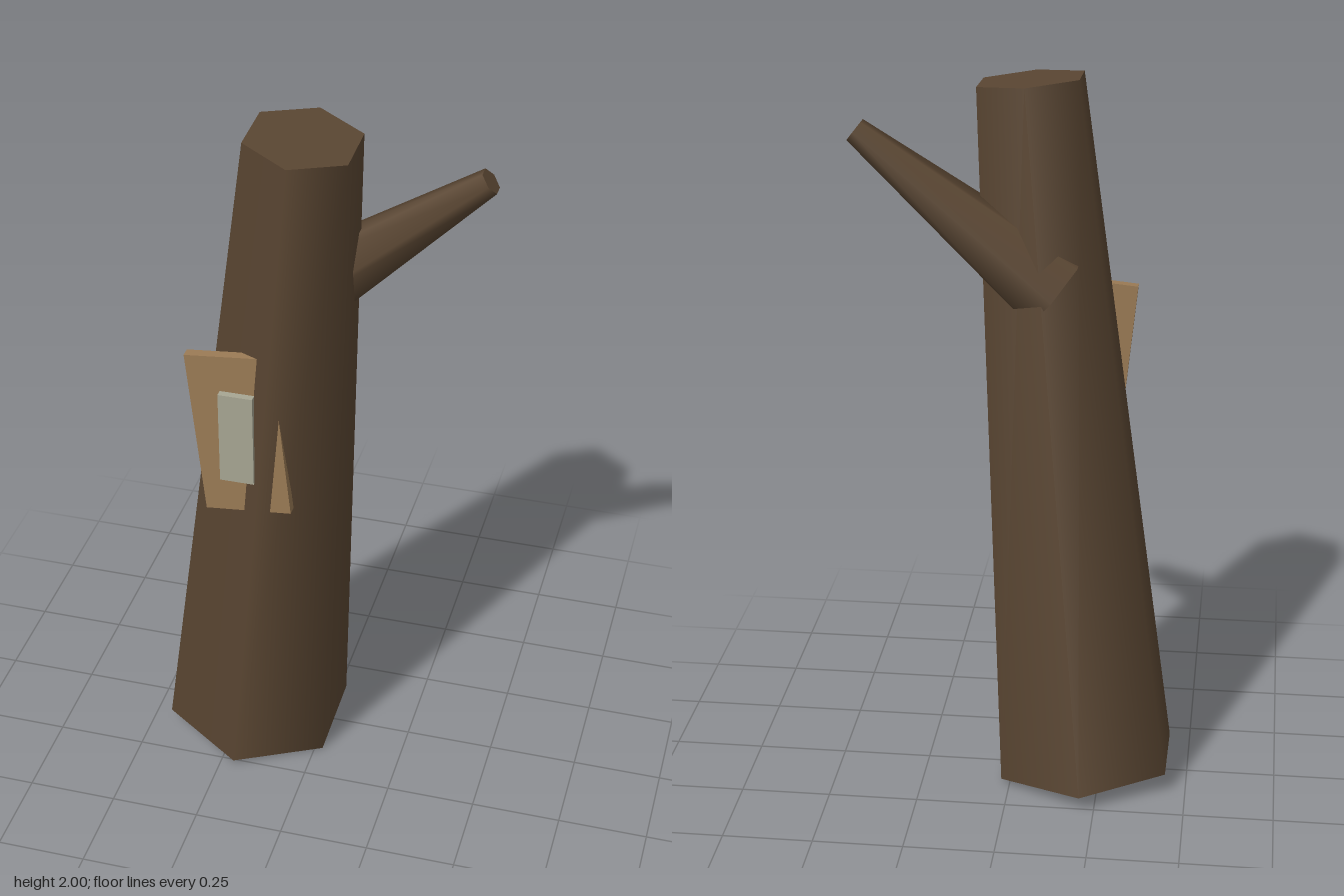
import * as THREE from 'three';

const material = (name, color) => {
  const m = new THREE.MeshStandardMaterial({ color });
  m.name = name;
  return m;
};

// Tapered six-sided log running from one point to another
function log(name, from, to, rFrom, rTo, mat) {
  const a = new THREE.Vector3(...from);
  const b = new THREE.Vector3(...to);
  const axis = b.clone().sub(a);
  const mesh = new THREE.Mesh(new THREE.CylinderGeometry(rTo, rFrom, axis.length(), 6), mat);
  mesh.position.copy(a).add(b).multiplyScalar(0.5);
  mesh.quaternion.setFromUnitVectors(new THREE.Vector3(0, 1, 0), axis.normalize());
  mesh.name = name;
  return mesh;
}

// Flat board facing the front, turned about z
function board(name, size, position, turn, mat) {
  const mesh = new THREE.Mesh(new THREE.BoxGeometry(...size), mat);
  mesh.position.set(...position);
  mesh.rotation.z = turn;
  mesh.name = name;
  return mesh;
}

export function createModel() {
  const bark = material('bark brown', 0x5a4632);
  const wood = material('board tan', 0x9b7b55);
  const paper = material('paper grey', 0xa8a693);

  const model = new THREE.Group();
  model.name = 'deadTree';
  model.add(
    // Leaning trunk and its one broken branch
    log('trunk', [-0.21, 0.029, 0], [-0.03, 1.983, 0.115], 0.27, 0.157, bark),
    log('branch', [-0.11, 1.44, -0.008], [0.422, 1.864, -0.008], 0.118, 0.036, bark),
    // Crooked notice board, partly sunk into the trunk, with a sheet on it
    board('noticeBoard', [0.238, 0.483, 0.028], [-0.176, 1.157, 0.236], 0.1, wood),
    board('notice', [0.094, 0.27, 0.02], [-0.176, 1.155, 0.26], 0, paper),
  );
  return model;
}
